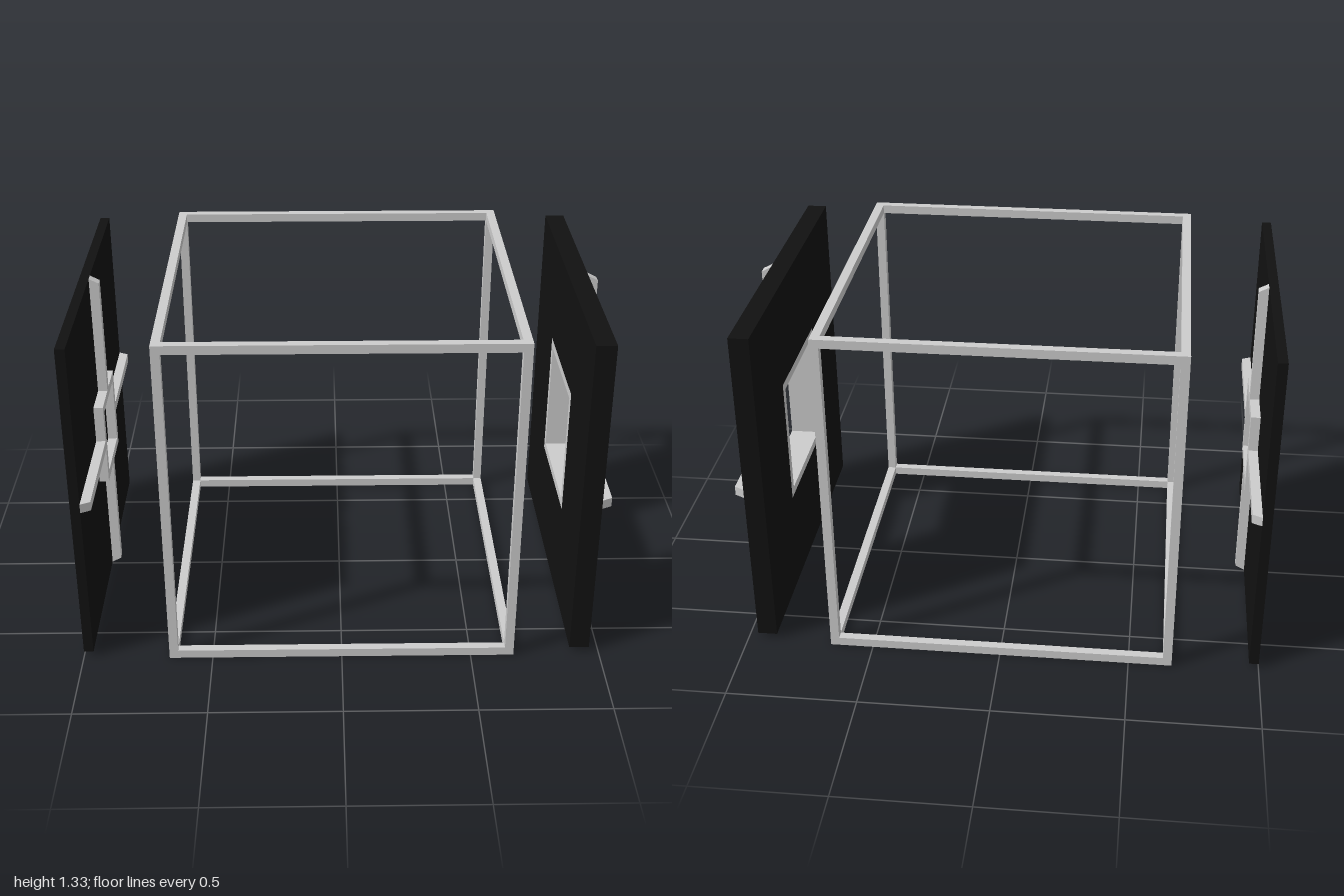
import * as THREE from 'three';

const grey = new THREE.MeshStandardMaterial({ color: 0xcccccc, flatShading: true });
const black = new THREE.MeshStandardMaterial({ color: 0x111111, flatShading: true });

const HALF = 0.667; // half the cube frame, also the height of its centre
const BEAM = 0.034;
const PANEL = 0.648; // half the side of a panel
const TRIM = 0.037; // how far the trim stands out from a panel

function addMesh(parent, name, geometry, material) {
  const mesh = new THREE.Mesh(geometry, material);
  mesh.name = name;
  parent.add(mesh);
  return mesh;
}

function squarePath(Type, h) {
  return new Type([[-h, -h], [h, -h], [h, h], [-h, h]].map(([x, y]) => new THREE.Vector2(x, y)));
}

// Square slab facing x, from x0 to x1, with an optional square hole
function squareSlab(half, hole, x0, x1) {
  const shape = squarePath(THREE.Shape, half);
  if (hole) shape.holes.push(squarePath(THREE.Path, hole));
  return new THREE.ExtrudeGeometry(shape, { depth: x1 - x0, bevelEnabled: false })
    .rotateY(Math.PI / 2)
    .translate(x0, 0, 0);
}

// Raised bar running outward along y, with a sloped outer end
function barGeometry(start, x) {
  const profile = new THREE.Shape([
    new THREE.Vector2(x, start),
    new THREE.Vector2(x + TRIM, start),
    new THREE.Vector2(x + TRIM, PANEL - 0.019),
    new THREE.Vector2(x, PANEL),
  ]);
  const width = 0.036;
  return new THREE.ExtrudeGeometry(profile, { depth: width, bevelEnabled: false })
    .translate(0, 0, -width / 2);
}

// Wall panel with a square frame and four bars on its +x face
function makePanel(name, { back, face, frame, open }) {
  const group = new THREE.Group();
  group.name = name;
  addMesh(group, 'panel', squareSlab(PANEL, open ? frame : 0, back, face), black);
  addMesh(group, open ? 'windowFrame' : 'squareTrim',
    squareSlab(frame, frame - 0.033, open ? back : face, face + TRIM), grey);
  for (let i = 0; i < 4; i++) {
    const bar = addMesh(group, 'trimBar', barGeometry(frame, face), grey);
    bar.rotation.x = (i * Math.PI) / 2;
  }
  return group;
}

// Twelve beams along the edges of a cube
function makeCubeFrame() {
  const group = new THREE.Group();
  group.name = 'cubeFrame';
  const c = HALF - BEAM / 2;
  const inner = 2 * (HALF - BEAM);
  for (const a of [-c, c]) {
    for (const b of [-c, c]) {
      addMesh(group, 'post', new THREE.BoxGeometry(BEAM, 2 * HALF, BEAM), grey).position.set(a, 0, b);
      addMesh(group, 'crossBeam', new THREE.BoxGeometry(inner, BEAM, BEAM), grey).position.set(0, a, b);
      addMesh(group, 'sideBeam', new THREE.BoxGeometry(BEAM, BEAM, inner), grey).position.set(a, b, 0);
    }
  }
  return group;
}

export function createModel() {
  const model = new THREE.Group();
  model.name = 'cubeFrameWithPanels';
  const parts = [
    makeCubeFrame(),
    makePanel('windowPanel', { back: 0.887, face: 0.963, frame: 0.258, open: true }),
    makePanel('solidPanel', { back: -1, face: -0.963, frame: 0.166, open: false }),
  ];
  for (const part of parts) {
    part.position.y = HALF;
    model.add(part);
  }
  return model;
}
